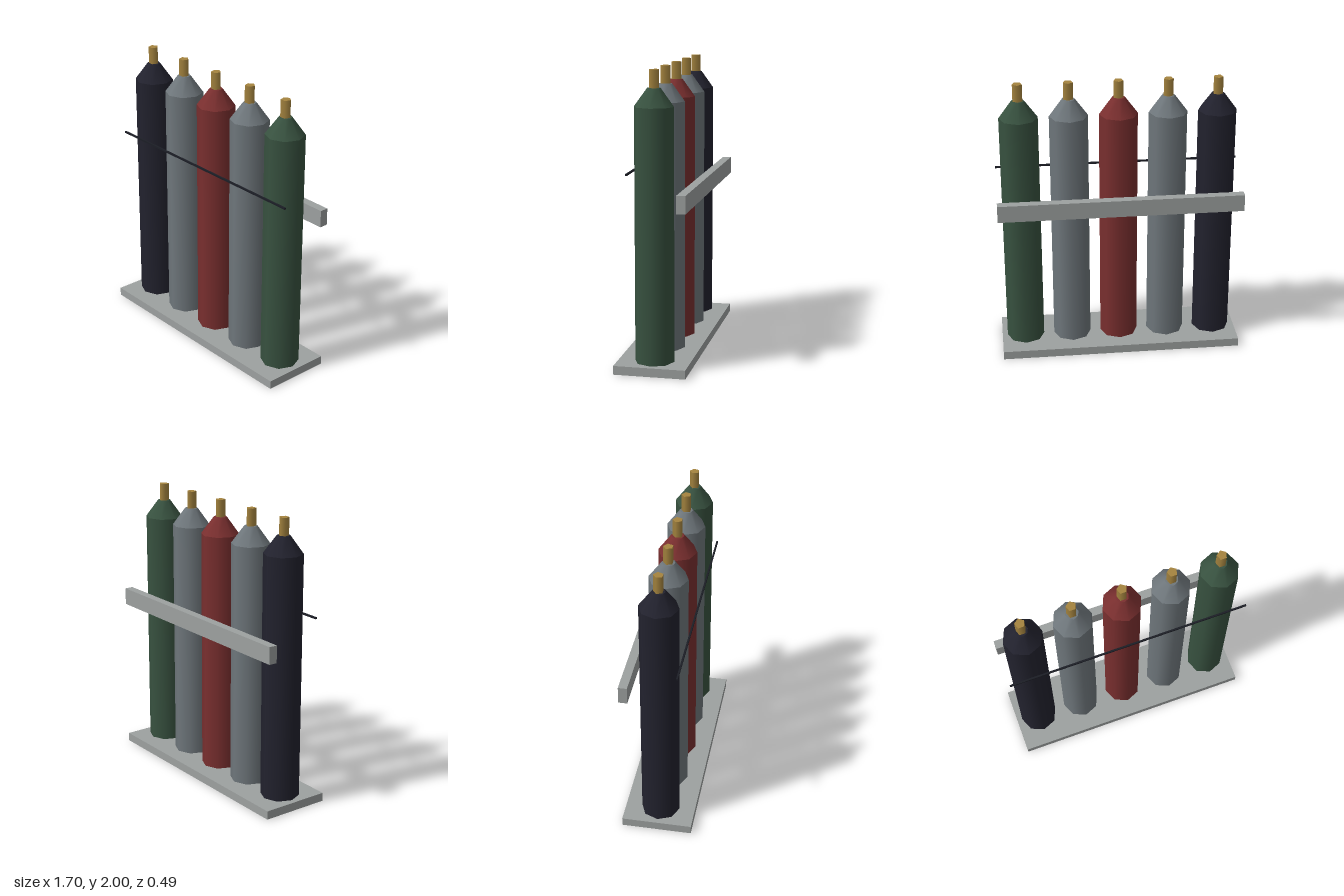
import * as THREE from 'three';

const mat = (name, color) => {
  const m = new THREE.MeshStandardMaterial({ color });
  m.name = name;
  return m;
};

export function createModel() {
  const group = new THREE.Group();
  group.name = 'gasCylinderRack';

  const steel = mat('rack grey', 0x9da1a0);
  const chainBlack = mat('chain black', 0x1c1e26);
  const brass = mat('brass', 0xa5843f);
  const black = mat('cylinder black', 0x22222e);
  const grey = mat('cylinder grey', 0x6f777c);
  const red = mat('cylinder red', 0x7a2f2f);
  const green = mat('cylinder green', 0x385240);

  const add = (parent, name, geometry, material, x, y, z) => {
    const mesh = new THREE.Mesh(geometry, material);
    mesh.name = name;
    mesh.position.set(x, y, z);
    parent.add(mesh);
    return mesh;
  };

  // Rack: base plate, rear rail and front retaining bar
  add(group, 'basePlate', new THREE.BoxGeometry(1.7, 0.06, 0.485), steel, 0, 0.03, 0);
  add(group, 'rearRail', new THREE.BoxGeometry(1.7, 0.12, 0.06), steel, 0, 1.155, -0.212);
  add(group, 'retainingBar', new THREE.BoxGeometry(1.7, 0.012, 0.012), chainBlack, 0, 1.336, 0.146);

  // Bottles: eight-sided body and shoulder, five-sided valve
  const body = new THREE.CylinderGeometry(0.133, 0.133, 1.7, 8);
  const shoulder = new THREE.CylinderGeometry(0.045, 0.133, 0.12, 8);
  const valve = new THREE.CylinderGeometry(0.035, 0.035, 0.12, 5);
  [black, grey, red, grey, green].forEach((paint, i) => {
    const bottle = new THREE.Group();
    bottle.name = `bottle${i + 1}`;
    bottle.position.x = (i - 2) * 0.34;
    bottle.rotation.y = Math.PI;
    add(bottle, 'body', body, paint, 0, 0.91, 0);
    add(bottle, 'shoulder', shoulder, paint, 0, 1.82, 0);
    add(bottle, 'valve', valve, brass, 0, 1.94, 0);
    group.add(bottle);
  });

  return group;
}
